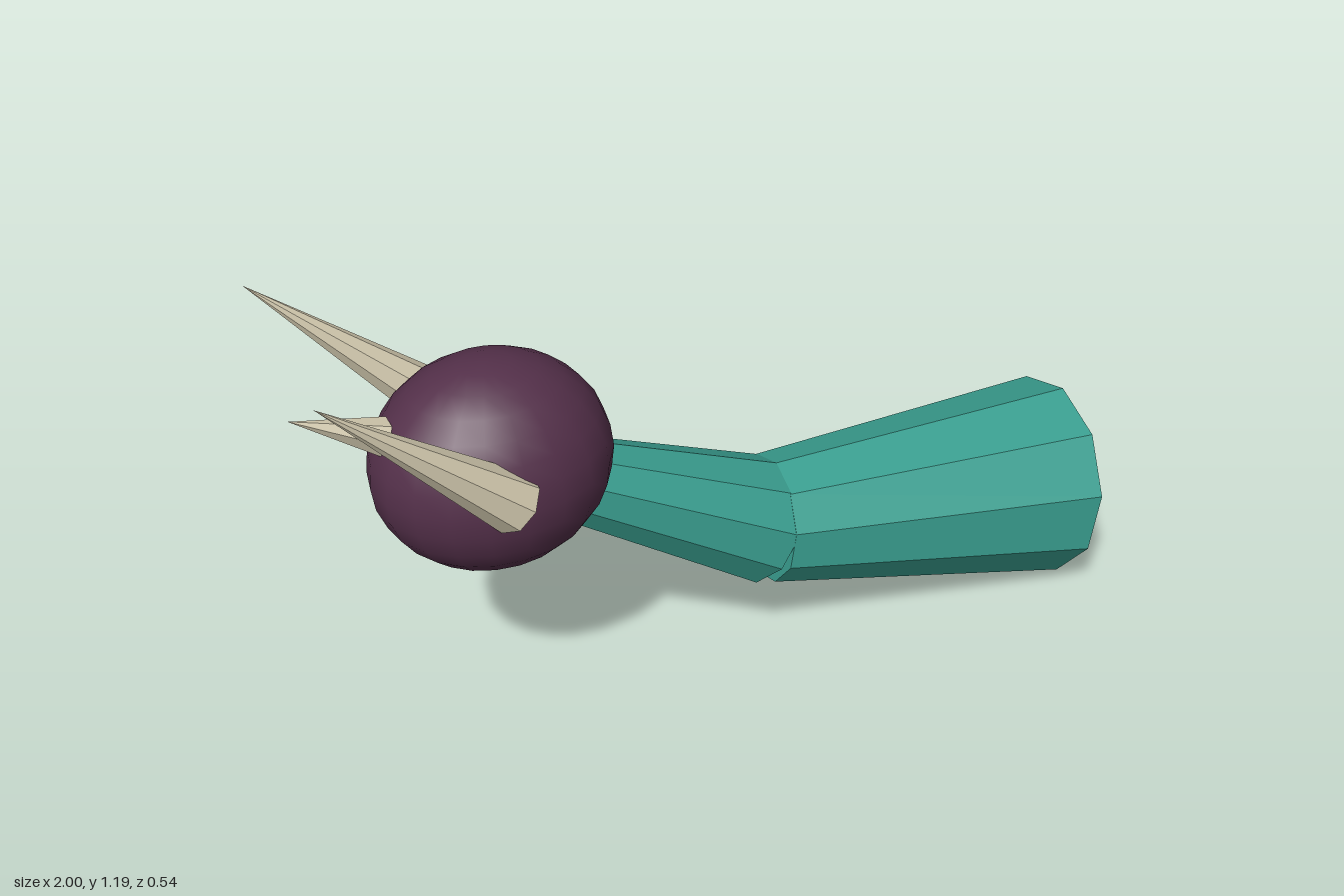
import * as THREE from 'three';

const colour = (name, color, flatShading = false) => {
  const m = new THREE.MeshStandardMaterial({ color, flatShading });
  m.name = name;
  return m;
};

// Tapered faceted tube running from point a to point b (radius 0 gives a spike)
function taper(name, a, b, ra, rb, sides, turn, material) {
  const from = new THREE.Vector3(...a);
  const to = new THREE.Vector3(...b);
  const axis = to.clone().sub(from);
  const geometry = new THREE.CylinderGeometry(rb, ra, axis.length(), sides, 1, false, turn);
  const mesh = new THREE.Mesh(geometry, material);
  mesh.name = name;
  mesh.position.copy(from).add(to).multiplyScalar(0.5);
  mesh.quaternion.setFromUnitVectors(new THREE.Vector3(0, 1, 0), axis.normalize());
  return mesh;
}

export function createModel() {
  const teal = colour('teal skin', 0x3a9f90, true);
  const plum = colour('plum head', 0x54304a);
  const bone = colour('bone horn', 0xd6cdb2, true);

  const model = new THREE.Group();
  model.name = 'hornedNeck';

  // Two ten-sided neck sections meeting at a bend
  model.add(taper('lowerNeck', [0.961, 0.262, 0], [0.135, 0.38, 0], 0.26, 0.16, 10, Math.PI / 2, teal));
  model.add(taper('upperNeck', [0.128, 0.38, 0], [-0.43, 0.693, 0], 0.16, 0.094, 10, Math.PI / 2, teal));

  // Slightly stretched ball head
  const head = new THREE.Mesh(new THREE.SphereGeometry(1, 20, 14), plum);
  head.name = 'head';
  head.scale.set(0.282, 0.258, 0.236);
  head.position.set(-0.56, 0.773, 0);
  model.add(head);

  // Mirrored pair of long horns
  for (const [name, s] of [['frontHorn', 1], ['backHorn', -1]]) {
    model.add(taper(name, [-0.58, 0.79, s * 0.206], [-1, 1.19, s * 0.267], 0.071, 0, 8, Math.PI / 8, bone));
  }

  // Short spike on the crown
  model.add(taper('crownSpike', [-0.8, 0.903, 0], [-1, 1, 0], 0.044, 0, 6, 0, bone));

  return model;
}
